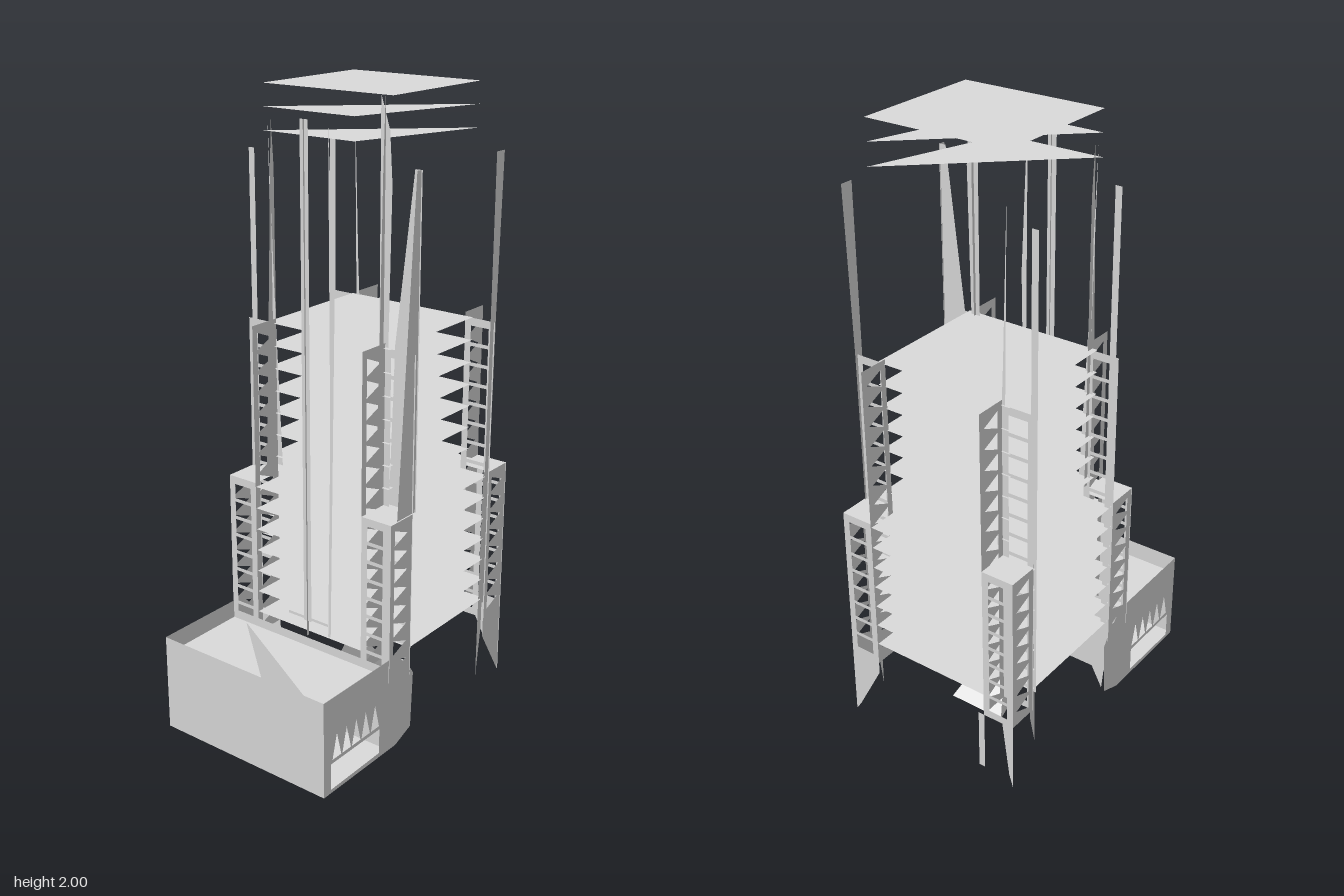
import * as THREE from 'three';

const mat = new THREE.MeshStandardMaterial({ color: 0xdadada, side: THREE.DoubleSide });
mat.name = 'paleGrey';

// Thin sheet in the plane axis = c; points are (x,y) for z, (z,y) for x, (x,z) for y
function sheet(parent, name, axis, c, pts, holes = []) {
  const toV = (list) => list.map(([u, v]) => new THREE.Vector2(u, v));
  const shape = new THREE.Shape(toV(pts));
  for (const h of holes) shape.holes.push(new THREE.Path(toV(h)));
  const geo = new THREE.ShapeGeometry(shape);
  const p = geo.attributes.position;
  for (let i = 0; i < p.count; i++) {
    const u = p.getX(i), v = p.getY(i);
    if (axis === 'z') p.setXYZ(i, u, v, c);
    if (axis === 'x') p.setXYZ(i, c, v, u);
    if (axis === 'y') p.setXYZ(i, u, c, v);
  }
  geo.computeVertexNormals();
  const mesh = new THREE.Mesh(geo, mat);
  mesh.name = name;
  parent.add(mesh);
}

const rect = (a, b, y0, y1) => [[a, y0], [b, y0], [b, y1], [a, y1]];

// Upright panel pierced by a ladder of triangular or rectangular openings
function lattice(parent, name, axis, c, a, b, y0, y1, n, triangular) {
  const holes = [];
  const bottom = y0 + 0.02, step = (y1 - 0.02 - bottom) / n;
  const w = b - a, l = a + w * 0.2, r = b - w * 0.2;
  for (let i = 0; i < n; i++) {
    const lo = bottom + i * step + 0.006, hi = lo + step - 0.012;
    holes.push(triangular ? [[l, lo], [r, (lo + hi) / 2], [l, hi]] : rect(l, r, lo, hi));
  }
  sheet(parent, name, axis, c, rect(a, b, y0, y1), holes);
}

// Sheet made of loose triangles
function triangles(parent, name, coords) {
  const geo = new THREE.BufferGeometry();
  geo.setAttribute('position', new THREE.Float32BufferAttribute(coords.flat(), 3));
  geo.computeVertexNormals();
  const mesh = new THREE.Mesh(geo, mat);
  mesh.name = name;
  parent.add(mesh);
}

export function createModel() {
  const model = new THREE.Group();
  model.name = 'tower';
  const group = (name) => {
    const g = new THREE.Group();
    g.name = name;
    model.add(g);
    return g;
  };

  // Floor slabs: notched at the corners below, smaller rectangles above
  const floors = group('floors');
  const lowerPlan = [[-0.05, -0.315], [0.375, -0.315], [0.375, -0.21], [0.475, -0.21], [0.475, 0.21], [0.375, 0.21],
    [0.375, 0.315], [-0.05, 0.315], [-0.05, 0.21], [-0.158, 0.21], [-0.158, -0.21], [-0.05, -0.21]];
  const upperPlan = rect(-0.06, 0.38, -0.24, 0.235);
  for (let i = 0; i < 14; i++) {
    sheet(floors, 'floorSlab', 'y', 0.315 + i * 0.0735, i < 7 ? lowerPlan : upperPlan);
  }

  // Floating roof and the triangular plates under it
  const roof = group('roof');
  sheet(roof, 'roofPlate', 'y', 1.998, upperPlan);
  for (const y of [1.93, 1.86]) sheet(roof, 'roofTriangle', 'y', y, [[0.38, 0.235], [-0.06, -0.24], [-0.06, 0.1]]);

  // Corner towers: outer lattice below, inner lattice above
  for (const s of [1, -1]) {
    for (const right of [true, false]) {
      const g = group('cornerTower');
      const inner = right ? 0.375 : -0.05, outer = right ? 0.478 : -0.16;
      const x0 = Math.min(inner, outer), x1 = Math.max(inner, outer);
      const z0 = s > 0 ? 0.21 : -0.32, z1 = z0 + 0.11;
      lattice(g, 'lowerLattice', 'z', s * 0.318, x0, x1, 0.24, 0.77, 8, true);
      lattice(g, 'lowerLattice', 'x', outer, z0, z1, 0.24, 0.77, 8, false);
      lattice(g, 'upperLattice', 'z', s * 0.21, x0, x1, 0.24, 1.285, 15, true);
      lattice(g, 'upperLattice', 'x', inner, z0, z1, 0.24, 1.27, 15, false);
      sheet(g, 'towerCap', 'y', 0.77, rect(x0, x1, z0, z1));
      if (!right) {
        sheet(g, 'foot', 'x', inner, [[s * 0.21, 0.24], [s * 0.21, 0.2], [s * 0.3, 0.03], [s * 0.32, 0.24]]);
      } else if (s > 0) {
        // Pointed front foot
        sheet(g, 'foot', 'z', 0.318, [[0.375, 0.24], [0.375, 0.17], [0.478, 0], [0.478, 0.24]]);
        sheet(g, 'foot', 'x', outer, [[0.21, 0.24], [0.21, 0.2], [0.3, 0.03], [0.32, 0], [0.32, 0.24]]);
        sheet(g, 'footSpike', 'z', 0.31, [[0.352, 0.02], [0.375, 0.2], [0.375, 0.77], [0.356, 0.77]]);
      } else {
        // Slim back feet
        sheet(g, 'foot', 'x', outer, rect(-0.212, -0.19, 0.03, 0.24));
        sheet(g, 'foot', 'x', outer, [[-0.28, 0.24], [-0.305, 0.05], [-0.32, 0], [-0.32, 0.24]]);
        sheet(g, 'footSpike', 'z', -0.31, [[0.352, 0.1], [0.375, 0.2], [0.375, 0.77], [0.356, 0.77]]);
      }
    }
  }

  // Tall fins and spires
  const spires = group('spires');
  sheet(spires, 'frontRightFin', 'z', 0.316, [[0.355, 0.3], [0.378, 0.3], [0.385, 1.28], [0.398, 1.8], [0.355, 1.8]]);
  sheet(spires, 'frontLeftFin', 'z', 0.316, [[-0.125, 0.77], [-0.03, 0.77], [-0.033, 1.8], [-0.055, 1.8]]);
  sheet(spires, 'frontLeftFinSide', 'x', -0.035, [[0.32, 0.77], [0.22, 0.77], [0.235, 1.28], [0.295, 1.8], [0.32, 1.8]]);
  for (const x of [-0.035, 0.36]) sheet(spires, 'backFin', 'x', x, rect(-0.32, -0.298, 0.3, 1.8));
  sheet(spires, 'tallSpire', 'x', -0.045, [[0.205, 0.3], [0.21, 0.77], [0.225, 1.75], [0.215, 1.9], [0.183, 1.998], [0.185, 1.28], [0.2, 0.5]]);
  sheet(spires, 'tallSpireFront', 'z', 0.2, [[-0.07, 1.0], [-0.035, 1.0], [-0.035, 1.8], [-0.048, 1.998], [-0.055, 1.8]]);
  for (const x of [-0.05, 0.375]) sheet(spires, 'backSpire', 'x', x, [[-0.19, 0.8], [-0.215, 0.8], [-0.23, 1.9], [-0.215, 1.4]]);
  sheet(spires, 'backSpireFace', 'z', -0.222, [[-0.09, 0.8], [-0.035, 0.8], [-0.035, 1.75], [-0.045, 1.9]]);
  sheet(spires, 'sideMast', 'x', -0.16, rect(-0.016, 0.014, 0.35, 1.925));
  sheet(spires, 'sideMastFace', 'z', 0, rect(-0.165, -0.155, 0.3, 1.925));
  sheet(spires, 'sideBlade', 'x', -0.158, [[0.08, 0.32], [0.09, 0.32], [0.107, 1.4], [0.085, 1.92], [0.09, 1.0]]);
  sheet(spires, 'sideBar', 'x', -0.16, rect(-0.08, 0.08, 0.355, 0.364));

  // Side annex with toothed openings front and back
  const annex = group('annex');
  const opening = [[-0.445, 0.012], [-0.205, 0.015], [-0.205, 0.1], [-0.445, 0.1]];
  const teeth = [];
  for (let i = 0; i < 5; i++) {
    const x = -0.437 + i * 0.047;
    teeth.push([[x, 0.112], [x + 0.042, 0.112], [x + 0.021, 0.195]]);
  }
  const wall = [[-0.478, 0], [-0.12, 0], [-0.04, 0.03], [-0.03, 0.22], [-0.05, 0.25], [-0.12, 0.32], [-0.478, 0.322]];
  for (const s of [1, -1]) sheet(annex, 'toothedWall', 'z', s * 0.318, wall, [opening, ...teeth]);
  sheet(annex, 'outerWall', 'x', -0.478, rect(-0.318, 0.318, 0, 0.322));
  sheet(annex, 'innerWall', 'x', -0.16, rect(-0.318, 0.318, 0, 0.29));
  sheet(annex, 'annexFloor', 'y', 0.002, rect(-0.478, -0.16, -0.318, 0.318));
  sheet(annex, 'annexRoof', 'y', 0.26, rect(-0.478, -0.16, -0.318, 0.318),
    [[[-0.165, -0.26], [-0.47, 0.09], [-0.465, 0.3]]]);

  // Pointed entrance canopy under the tower
  const apex = [0.07, 0.22, 0], a = [0.245, 0, 0.1], b = [0.245, 0, -0.1], c = [-0.16, 0.01, 0];
  triangles(model, 'entranceCanopy', [apex, a, b, apex, c, a, apex, b, c].flat());

  return model;
}
